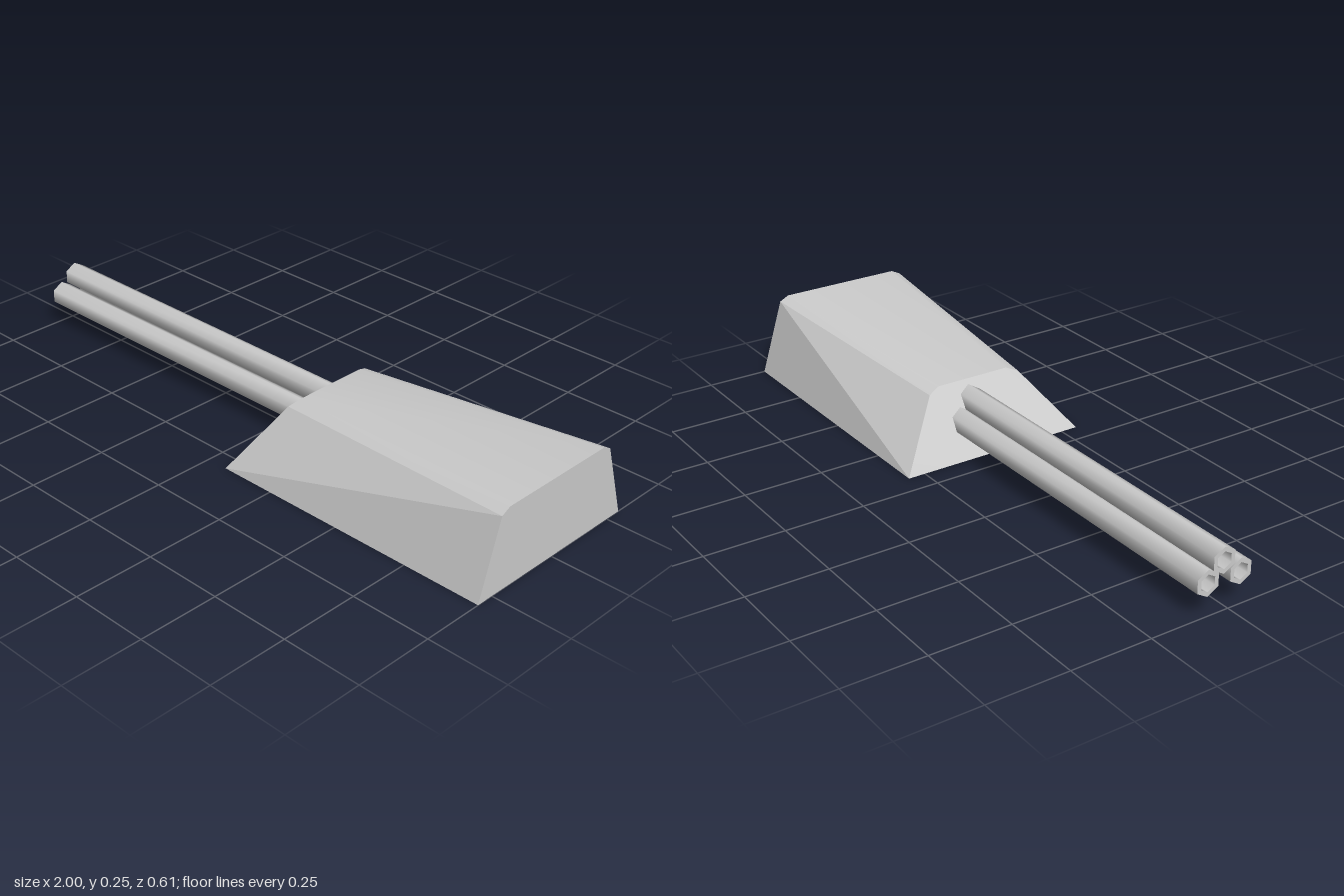
import * as THREE from 'three';
import { toCreasedNormals } from 'three/addons/utils/BufferGeometryUtils.js';

const material = new THREE.MeshStandardMaterial({ color: 0xcccccc });

// Mirrors three [x, y, z] corners into a closed six-corner ring
function ring(half) {
  const mirrored = half.map(([x, y, z]) => [x, y, -z]).reverse();
  return [...half, ...mirrored];
}

// Tapered housing lofted between a sloping front ring and an upright rear ring
function createHousing() {
  const front = ring([[0.07, 0, 0.305], [0.18, 0.19, 0.16], [0.192, 0.205, 0.123]]);
  const rear = ring([[1, 0, 0.305], [1, 0.235, 0.23], [1, 0.25, 0.2]]);
  const n = front.length;
  const index = [];
  for (let i = 0; i < n; i++) {
    const j = (i + 1) % n;
    // Diagonals are mirrored between the two sides
    if (i < 3) index.push(i, n + i, n + j, i, n + j, j);
    else index.push(i, n + i, j, n + i, n + j, j);
  }
  // End caps
  for (let k = 1; k < n - 1; k++) {
    index.push(0, k, k + 1);
    index.push(n, n + k + 1, n + k);
  }
  const geometry = new THREE.BufferGeometry();
  geometry.setAttribute('position', new THREE.Float32BufferAttribute([...front, ...rear].flat(), 3));
  geometry.setIndex(index);
  const mesh = new THREE.Mesh(toCreasedNormals(geometry, 0.4), material);
  mesh.name = 'housing';
  return mesh;
}

// Hollow six-sided barrel along x, with its muzzle at x = -1
function createBarrel(name, y, z) {
  const profile = [[0.04, -0.3], [0.04, 1], [0.026, 1], [0.026, -0.3]];
  const geometry = new THREE.LatheGeometry(profile.map(([r, h]) => new THREE.Vector2(r, h)), 6);
  geometry.rotateY(Math.PI / 2).rotateZ(Math.PI / 2);
  const mesh = new THREE.Mesh(toCreasedNormals(geometry, 1.2), material);
  mesh.position.set(0, y, z);
  mesh.name = name;
  return mesh;
}

export function createModel() {
  const group = new THREE.Group();
  group.name = 'tripleBarrelTurret';
  group.add(createHousing());

  // Two lower barrels with one nested above them
  group.add(createBarrel('upperBarrel', 0.15, -0.021));
  group.add(createBarrel('lowerFrontBarrel', 0.099, 0.037));
  group.add(createBarrel('lowerBackBarrel', 0.099, -0.072));
  return group;
}
